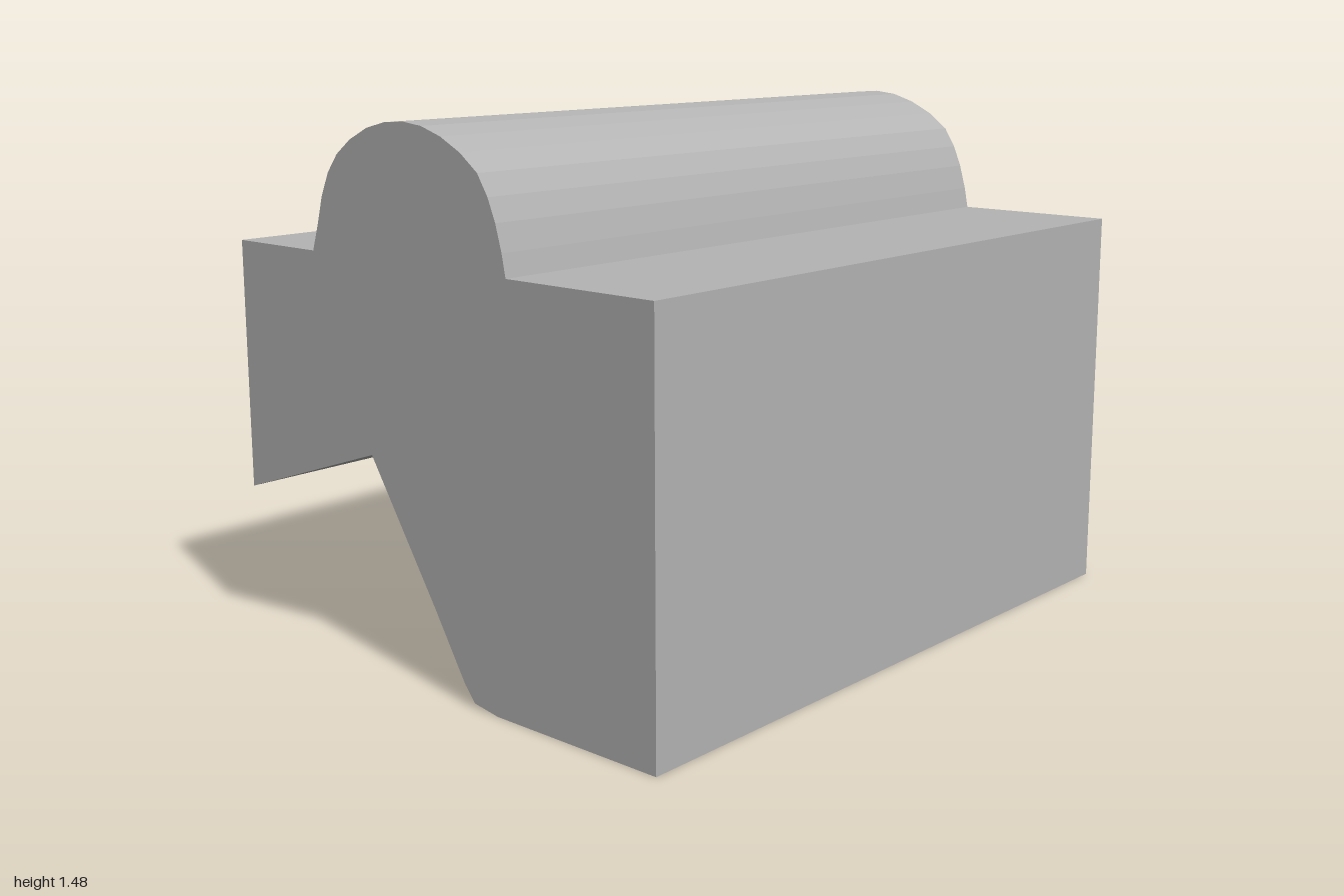
import * as THREE from 'three';

const DEPTH = 2;

// Extrudes an outline in x,y along the full length, centred on z
function prism(name, points, material) {
  const shape = new THREE.Shape(points.map(([x, y]) => new THREE.Vector2(x, y)));
  const geometry = new THREE.ExtrudeGeometry(shape, { depth: DEPTH, bevelEnabled: false });
  geometry.translate(0, 0, -DEPTH / 2);
  const mesh = new THREE.Mesh(geometry, material);
  mesh.name = name;
  return mesh;
}

export function createModel() {
  const group = new THREE.Group();
  group.name = 'profileBlock';
  const grey = new THREE.MeshStandardMaterial({ color: 0xb4b4b4 });
  grey.name = 'grey';

  // One solid: straight sides, domed ridge on top, V-shaped cut underneath
  group.add(prism('ridgedBlock', [
    // foot with a softened inner corner
    [0.77, 0], [0.23, 0], [0.145, 0.013], [0.11, 0.055],
    // slanted face, notch and overhang
    [0, 0.235], [-0.235, 0.6], [-0.77, 0.42],
    // left shoulder
    [-0.77, 1.12], [-0.45, 1.12],
    // domed ridge
    [-0.425, 1.195], [-0.405, 1.265], [-0.375, 1.33], [-0.335, 1.38],
    [-0.28, 1.42], [-0.21, 1.453], [-0.14, 1.47], [-0.07, 1.475],
    [0, 1.467], [0.07, 1.445], [0.14, 1.41], [0.2, 1.365],
    [0.235, 1.31], [0.26, 1.25], [0.28, 1.18], [0.292, 1.12],
    // right shoulder
    [0.77, 1.12],
  ], grey));

  return group;
}
